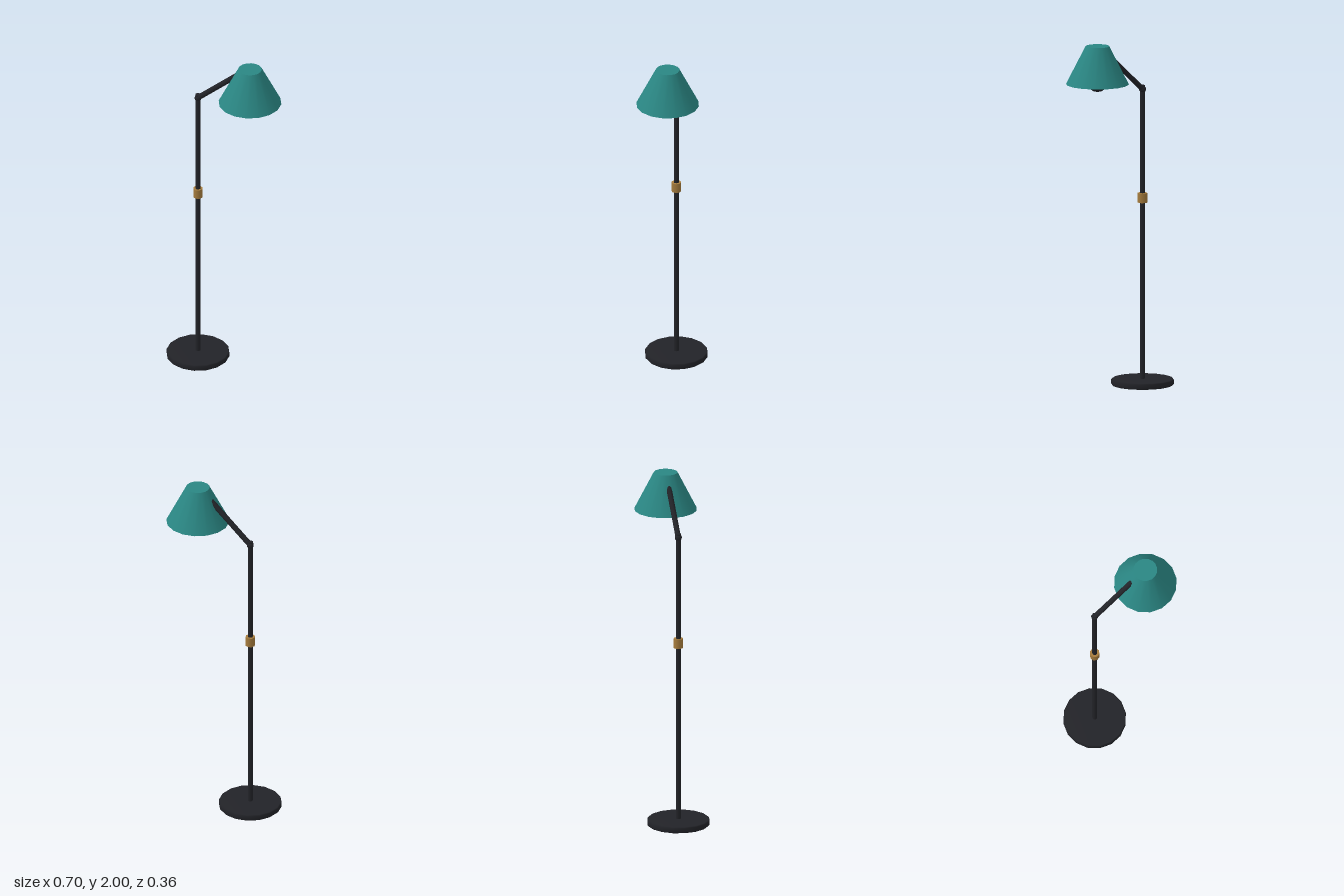
import * as THREE from 'three';

const POLE_X = -0.17, SHADE_X = 0.17;

export function createModel() {
  const lamp = new THREE.Group();
  lamp.name = 'floorLamp';
  const black = new THREE.MeshStandardMaterial({ color: 0x222328 });
  const brass = new THREE.MeshStandardMaterial({ color: 0xa67c3d });
  const teal = new THREE.MeshStandardMaterial({ color: 0x2a8683 });

  const add = (name, geometry, material, x, y) => {
    const mesh = new THREE.Mesh(geometry, material);
    mesh.name = name;
    mesh.position.set(x, y, 0);
    lamp.add(mesh);
    return mesh;
  };

  // Round foot with a small chamfer on both rims
  const profile = [[0, 0], [0.174, 0], [0.18, 0.006], [0.18, 0.03], [0.174, 0.036], [0, 0.036]]
    .map(([r, y]) => new THREE.Vector2(r, y));
  add('base', new THREE.LatheGeometry(profile, 16), black, POLE_X, 0);

  // Upright pole with its brass collar
  add('pole', new THREE.CylinderGeometry(0.015, 0.015, 1.705, 8), black, POLE_X, 0.8825);
  add('collar', new THREE.CylinderGeometry(0.028, 0.028, 0.056, 8), brass, POLE_X, 1.083);

  // Elbow joint and sloping arm that ends inside the shade
  add('joint', new THREE.SphereGeometry(0.021, 8, 6), black, POLE_X, 1.712);
  const start = new THREE.Vector2(POLE_X, 1.712), end = new THREE.Vector2(0.12, 1.965);
  const span = end.clone().sub(start), mid = start.clone().add(end).multiplyScalar(0.5);
  const arm = add('arm', new THREE.CylinderGeometry(0.016, 0.016, span.length(), 8), black, mid.x, mid.y);
  arm.rotation.z = span.angle() - Math.PI / 2;

  // Closed conical shade with the bulb showing beneath
  add('shade', new THREE.CylinderGeometry(0.068, 0.18, 0.22, 16), teal, SHADE_X, 1.89);
  add('bulb', new THREE.SphereGeometry(0.065, 10, 8), black, SHADE_X, 1.8);

  return lamp;
}
